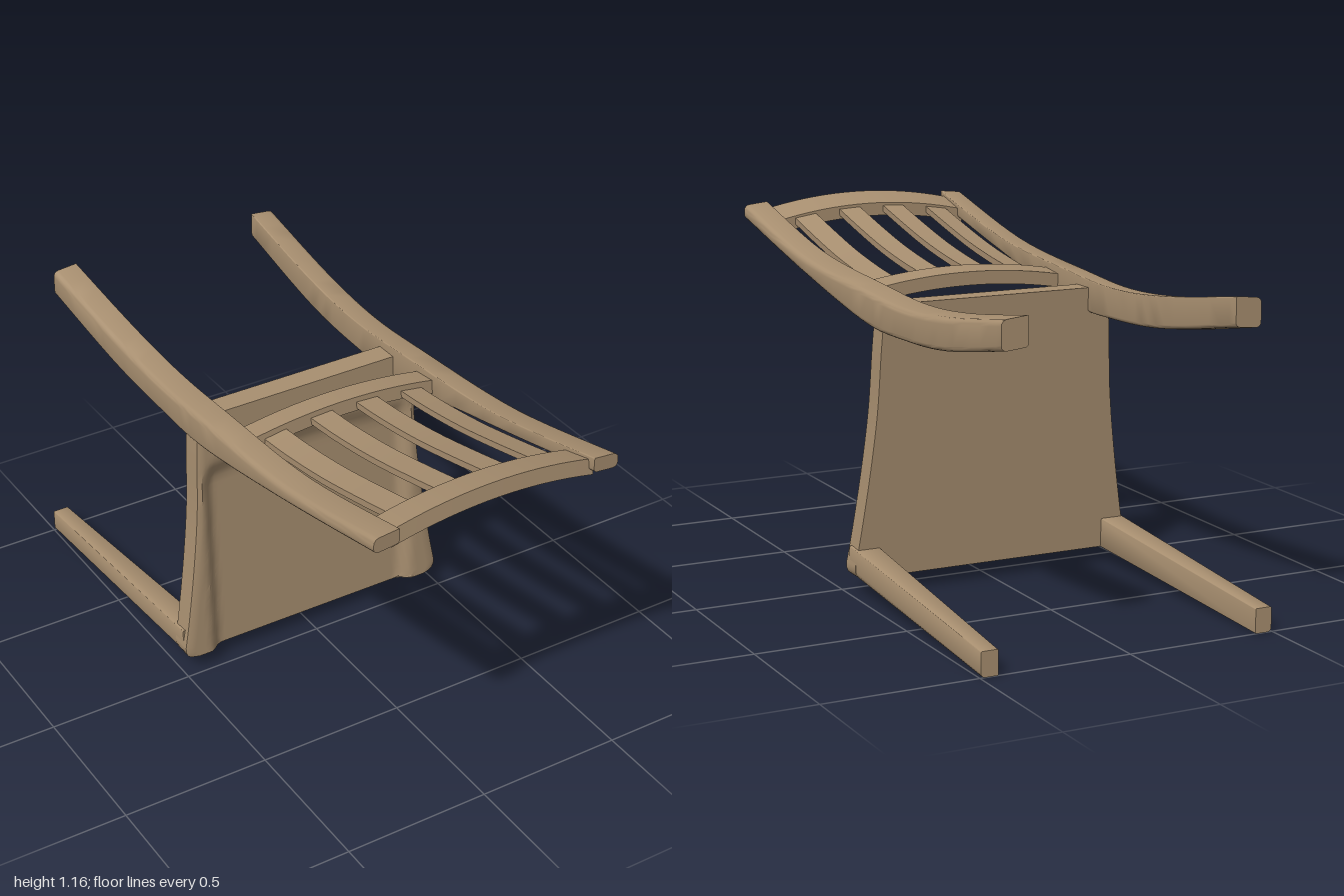
import * as THREE from 'three';
import { toCreasedNormals } from 'three/addons/utils/BufferGeometryUtils.js';

const wood = new THREE.MeshStandardMaterial({ color: 0xa88f70 });

// Skin over closed cross-sections, with both ends capped and faces turned outward
function loft(name, rings) {
  const n = rings[0].length, last = (rings.length - 1) * n;
  const pos = rings.flat(2), idx = [];
  for (let r = 0; r < rings.length - 1; r++) {
    for (let i = 0; i < n; i++) {
      const a = r * n + i, b = r * n + (i + 1) % n;
      idx.push(a, b, b + n, a, b + n, a + n);
    }
  }
  for (let i = 0; i < n / 2 - 1; i++) {
    const j = n - 1 - i;
    idx.push(i, j, i + 1, i + 1, j, j - 1);
    idx.push(last + i, last + i + 1, last + j, last + i + 1, last + j - 1, last + j);
  }
  const p = (k) => new THREE.Vector3().fromArray(pos, idx[k] * 3);
  let volume = 0;
  for (let k = 0; k < idx.length; k += 3) volume += p(k).dot(p(k + 1).cross(p(k + 2)));
  if (volume < 0) idx.reverse();
  const geo = new THREE.BufferGeometry();
  geo.setAttribute('position', new THREE.Float32BufferAttribute(pos, 3));
  geo.setIndex(idx);
  const mesh = new THREE.Mesh(toCreasedNormals(geo, 0.6), wood);
  mesh.name = name;
  return mesh;
}

// Rectangle in x and y; radii run from inner-low, outer-low, outer-high to inner-high
function roundedRect(x0, x1, y0, y1, radii) {
  const pts = [];
  [[x0, y0, 1, 1], [x1, y0, -1, 1], [x1, y1, -1, -1], [x0, y1, 1, -1]].forEach(([x, y, sx, sy], c) => {
    for (let k = 0; k <= 4; k++) {
      const a = Math.PI * (1 + c / 2 + k / 8), r = radii[c];
      pts.push([x + r * (sx + Math.cos(a)), y + r * (sy + Math.sin(a))]);
    }
  });
  return pts;
}

const spline = (pts) => new THREE.SplineCurve(pts.map(([a, b]) => new THREE.Vector2(a, b)));
const range = (n, f) => Array.from({ length: n + 1 }, (_, i) => f(i / n));

// Dished seat: rows from the front edge (low y) to the back
function seat() {
  const side = spline([[0.1, 0.493], [0.2, 0.475], [0.4, 0.445], [0.6, 0.422], [0.8, 0.411], [0.95, 0.4]]);
  const rows = [[0.055, 0.462], [0.058, 0.477], [0.066, 0.487], [0.08, 0.493]];
  range(40, (t) => { const q = side.getPoint(t); rows.push([q.x, q.y]); });
  const rings = rows.map(([y, w]) => {
    const top = -0.015 - 0.048 * (y - 0.05);
    const xs = range(56, (t) => (2 * t - 1) * w);
    const upper = xs.map((x) => {
      const across = THREE.MathUtils.smoothstep(0.4 - Math.abs(x), 0, 0.05);
      const along = THREE.MathUtils.smoothstep(0.82 - 0.25 * x * x - y, 0, 0.1);
      const edge = Math.abs(x) > w - 0.001 ? 0.006 : 0;
      return [x, y, top - 0.03 * across * along - edge];
    });
    return [...upper, ...xs.reverse().map((x) => [x, y, top - 0.078])];
  });
  return loft('seat', rings);
}

// Curved back post running on into the rear leg
function rearPost(s) {
  const z = [1, 0.5, 0, -0.3, -0.6, -1];
  const low = spline([1.085, 0.972, 0.875, 0.865, 0.885, 0.955].map((y, i) => [z[i], y]));
  const high = spline([1.135, 1.025, 0.982, 0.967, 0.988, 1.047].map((y, i) => [z[i], y]));
  const xIn = spline([0.34, 0.337, 0.33, 0.328, 0.333, 0.345].map((x, i) => [z[i], x]));
  return loft('backPostAndRearLeg', range(36, (t) => {
    const l = low.getPoint(t), x0 = xIn.getPoint(t).y;
    return roundedRect(x0, x0 + 0.088, l.y, high.getPoint(t).y, [0.012, 0.018, 0.018, 0.004])
      .map(([x, y]) => [s * x, y - 0.1 * (x - x0 - 0.044), l.x]);
  }));
}

// Straight tapered front leg
function frontLeg(s) {
  const mix = THREE.MathUtils.lerp;
  return loft('frontLeg', [0, 1].map((t) =>
    roundedRect(mix(0.405, 0.44, t), mix(0.491, 0.497, t), mix(0.056, 0, t), mix(0.157, 0.08, t),
      [0.004, mix(0.03, 0.014, t), 0.006, 0.004])
      .map(([x, y]) => [s * x, y, mix(-0.045, -1, t)])));
}

// Bowed rail between the posts; the corners are [z, y] of its section at mid-width
function rail(name, corners, bow) {
  return loft(name, range(24, (t) => {
    const x = (2 * t - 1) * 0.355;
    return corners.map(([z, y]) => [x, y - bow * (x / 0.33) ** 2, z]);
  }));
}

// Thin slat, following the bow of both rails
function slat(cx) {
  const line = spline([[0.13, 0.962], [0.3, 0.98], [0.5, 1.013], [0.7, 1.058], [0.9, 1.108]]);
  return loft('backSlat', range(16, (t) => {
    const q = line.getPoint(t);
    const at = (x, h) => [x, q.y + h - 0.033 * (x / 0.33) ** 2, q.x];
    const [a, b] = [cx - 0.039, cx + 0.039];
    return [at(a, 0), at(b, 0), at(b, 0.022), at(a, 0.022)];
  }));
}

export function createModel() {
  const chair = new THREE.Group();
  chair.name = 'chair';
  chair.add(seat());
  for (const s of [-1, 1]) chair.add(rearPost(s), frontLeg(s));
  chair.add(rail('topRail', [[0.86, 1.085], [0.98, 1.108], [0.972, 1.16], [0.86, 1.13]], 0.036));
  chair.add(rail('lowerRail', [[0.08, 0.95], [0.17, 0.958], [0.165, 1.005], [0.08, 0.995]], 0.03));
  for (const x of [-0.252, -0.084, 0.084, 0.252]) chair.add(slat(x));
  return chair;
}
